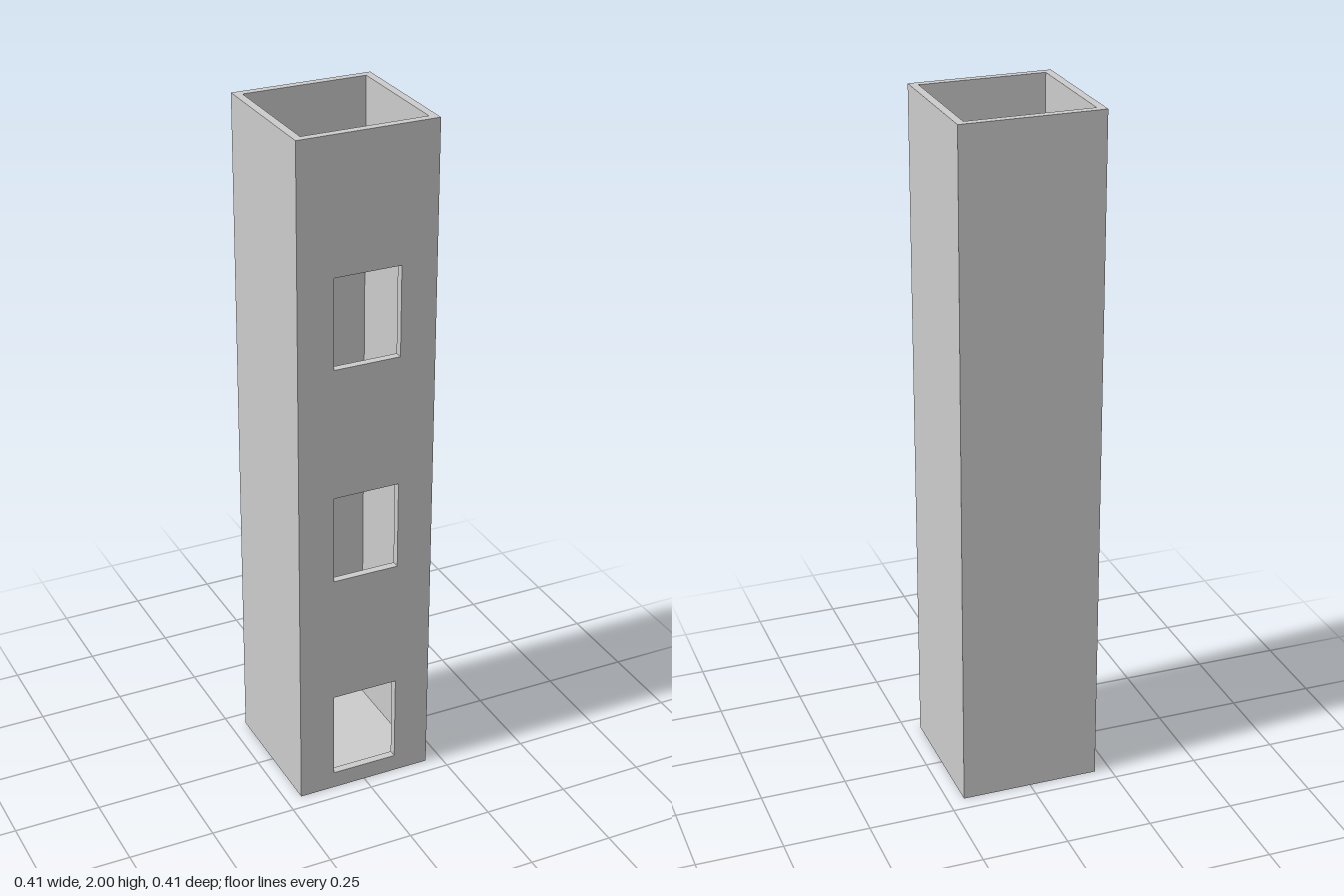
import * as THREE from 'three';

const HEIGHT = 2, HALF = 0.203, WALL = 0.023, INNER = HALF - WALL;
const WINDOW = { halfWidth: 0.098, height: 0.263, firstSill: 0.051, spacing: 0.649, count: 3 };

const points = (list) => list.map(([x, y]) => new THREE.Vector2(x, y));
const rectangle = (x0, y0, x1, y1) => points([[x0, y0], [x1, y0], [x1, y1], [x0, y1]]);

export function createModel() {
  const group = new THREE.Group();
  group.name = 'tower';
  const material = new THREE.MeshStandardMaterial({ color: 0xcccccc, flatShading: true });

  const add = (name, geometry) => {
    const mesh = new THREE.Mesh(geometry, material);
    mesh.name = name;
    group.add(mesh);
    return mesh;
  };

  // Front wall pierced by a column of windows
  const front = new THREE.Shape(rectangle(-HALF, 0, HALF, HEIGHT));
  for (let i = 0; i < WINDOW.count; i++) {
    const sill = WINDOW.firstSill + i * WINDOW.spacing;
    front.holes.push(new THREE.Path(
      rectangle(-WINDOW.halfWidth, sill, WINDOW.halfWidth, sill + WINDOW.height)));
  }
  add('frontWall', new THREE.ExtrudeGeometry(front, { depth: WALL, bevelEnabled: false }))
    .position.z = INNER;

  // Back and side walls as one U-shaped plan, raised to full height
  const plan = new THREE.Shape(points([
    [-HALF, -INNER], [-INNER, -INNER], [-INNER, INNER], [INNER, INNER],
    [INNER, -INNER], [HALF, -INNER], [HALF, HALF], [-HALF, HALF],
  ]));
  add('backAndSideWalls', new THREE.ExtrudeGeometry(plan, { depth: HEIGHT, bevelEnabled: false })
    .rotateX(-Math.PI / 2));

  // Floor slab closing the bottom; the top stays open
  add('floor', new THREE.BoxGeometry(2 * INNER, WALL, 2 * INNER)).position.y = WALL / 2;

  return group;
}
